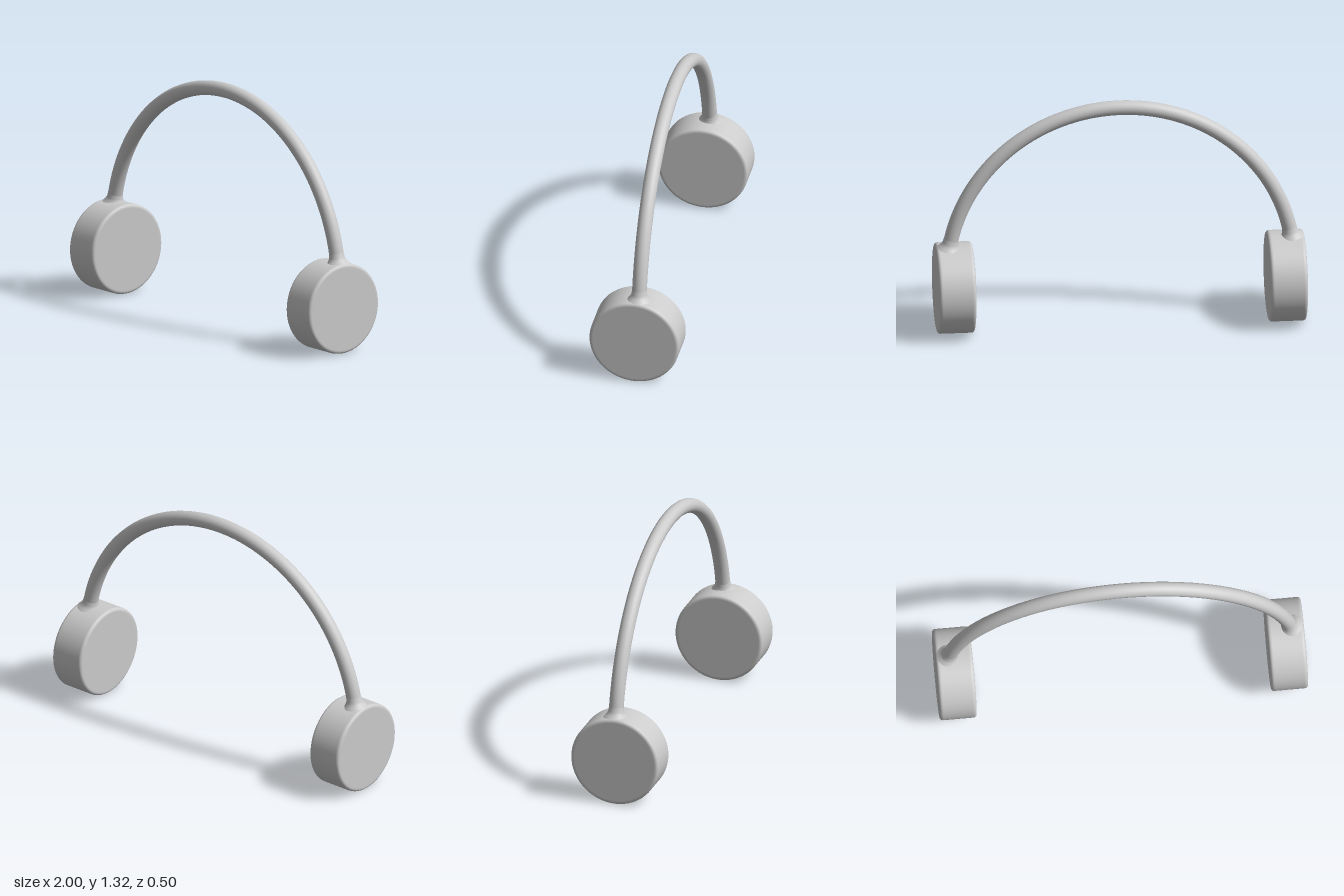
import * as THREE from 'three';

const material = new THREE.MeshStandardMaterial({ color: 0xcccccc });
const BAND_Z = -0.016, BAND_R = 0.04;
const ARC_R = 0.939, ARC_Y = 0.341;

function addMesh(parent, name, geometry) {
  const mesh = new THREE.Mesh(geometry, material);
  mesh.name = name;
  parent.add(mesh);
  return mesh;
}

// Point on the centreline of the headband, at an angle from +x
const arcPoint = (a) => new THREE.Vector3(ARC_R * Math.cos(a), ARC_Y + ARC_R * Math.sin(a), BAND_Z);

// Disc with a small rounded rim, turned about y
function cupGeometry(radius, half, bevel) {
  const profile = [[0, -half], [radius - bevel * 1.3, -half]];
  for (const side of [-1, 1]) {
    for (let i = 0; i <= 4; i++) {
      const a = (side < 0 ? -Math.PI / 2 : 0) + (i / 4) * (Math.PI / 2);
      profile.push([radius - bevel + bevel * Math.cos(a), side * (half - bevel) + bevel * Math.sin(a)]);
    }
    if (side < 0) profile.push([radius, -half + bevel * 1.3], [radius, half - bevel * 1.3]);
  }
  profile.push([radius - bevel * 1.3, half], [0, half]);
  return new THREE.LatheGeometry(profile.map(([x, y]) => new THREE.Vector2(x, y)), 64);
}

export function createModel() {
  const model = new THREE.Group();
  model.name = 'headphones';

  // Headband: round bar along an arc, its ends sunk into the cups
  const start = Math.asin((0.45 - ARC_Y) / ARC_R);
  const points = [];
  for (let i = 0; i <= 32; i++) points.push(arcPoint(start + (Math.PI - 2 * start) * (i / 32)));
  const path = new THREE.CatmullRomCurve3(points);
  addMesh(model, 'headband', new THREE.TubeGeometry(path, 120, BAND_R, 24));

  // Ear cups and the soft flare where the band meets each one
  const flare = [[0.068, -0.016], [0.058, -0.004], [0.049, 0.006], [0.043, 0.02], [0.0395, 0.045]]
    .map(([x, y]) => new THREE.Vector2(x, y));
  const joint = Math.asin((0.5 - ARC_Y) / ARC_R);
  for (const [side, label] of [[1, 'left'], [-1, 'right']]) {
    const cup = addMesh(model, label + 'EarCup', cupGeometry(0.248, 0.1, 0.016));
    cup.rotation.z = Math.PI / 2;
    cup.position.set(side * 0.9, 0.25, -0.002);

    const collar = addMesh(model, label + 'BandCollar', new THREE.LatheGeometry(flare, 32));
    collar.position.copy(arcPoint(joint));
    collar.position.x *= side;
    collar.rotation.z = side * joint;
  }
  return model;
}
